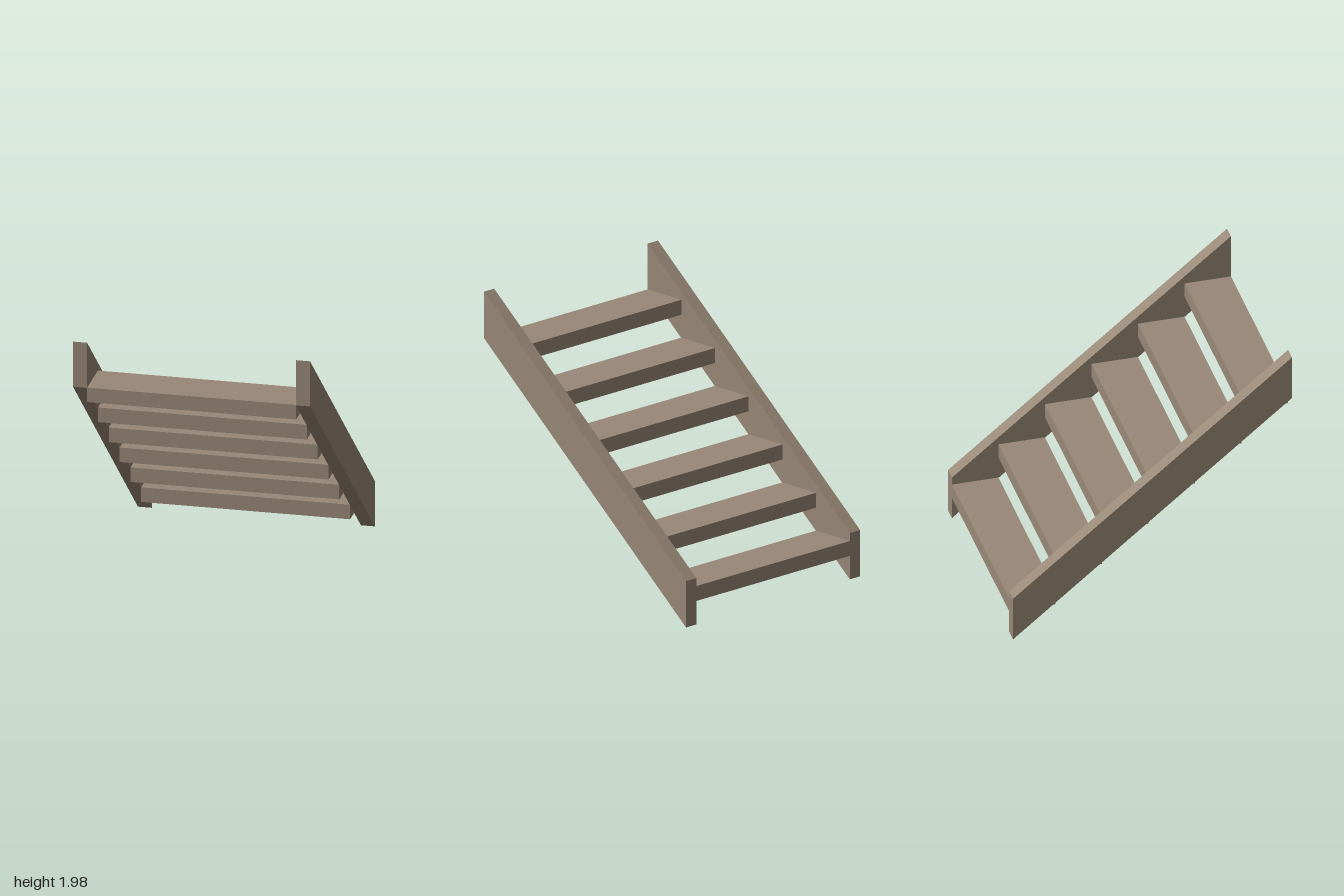
import * as THREE from 'three';

export function createModel() {
  const group = new THREE.Group();
  group.name = 'openStaircase';
  const wood = new THREE.MeshStandardMaterial({ color: 0x998877 });
  wood.name = 'brown wood';

  // Sloping side stringers: a parallelogram in (z, y), extruded across x
  const width = 0.1;
  const profile = new THREE.Shape([
    new THREE.Vector2(-1, 0),
    new THREE.Vector2(1, 1.645),
    new THREE.Vector2(1, 1.98),
    new THREE.Vector2(-1, 0.335),
  ]);
  const stringerGeometry = new THREE.ExtrudeGeometry(profile, { depth: width, bevelEnabled: false });
  stringerGeometry.translate(0, 0, -width / 2);
  // Turn the profile's x to z, then mirror-free: extrusion runs along -x
  stringerGeometry.rotateY(-Math.PI / 2);
  for (const [name, side] of [['leftStringer', 1], ['rightStringer', -1]]) {
    const stringer = new THREE.Mesh(stringerGeometry, wood);
    stringer.name = name;
    stringer.position.x = side * 0.79;
    group.add(stringer);
  }

  // Six treads rising towards the front
  const count = 6, run = 2 / count, rise = 0.274, thickness = 0.108;
  const treadGeometry = new THREE.BoxGeometry(1.48, thickness, run);
  for (let i = 0; i < count; i++) {
    const tread = new THREE.Mesh(treadGeometry, wood);
    tread.name = `tread${i + 1}`;
    tread.position.set(0, 0.17 + thickness / 2 + i * rise, -1 + run * (i + 0.5));
    group.add(tread);
  }
  return group;
}
